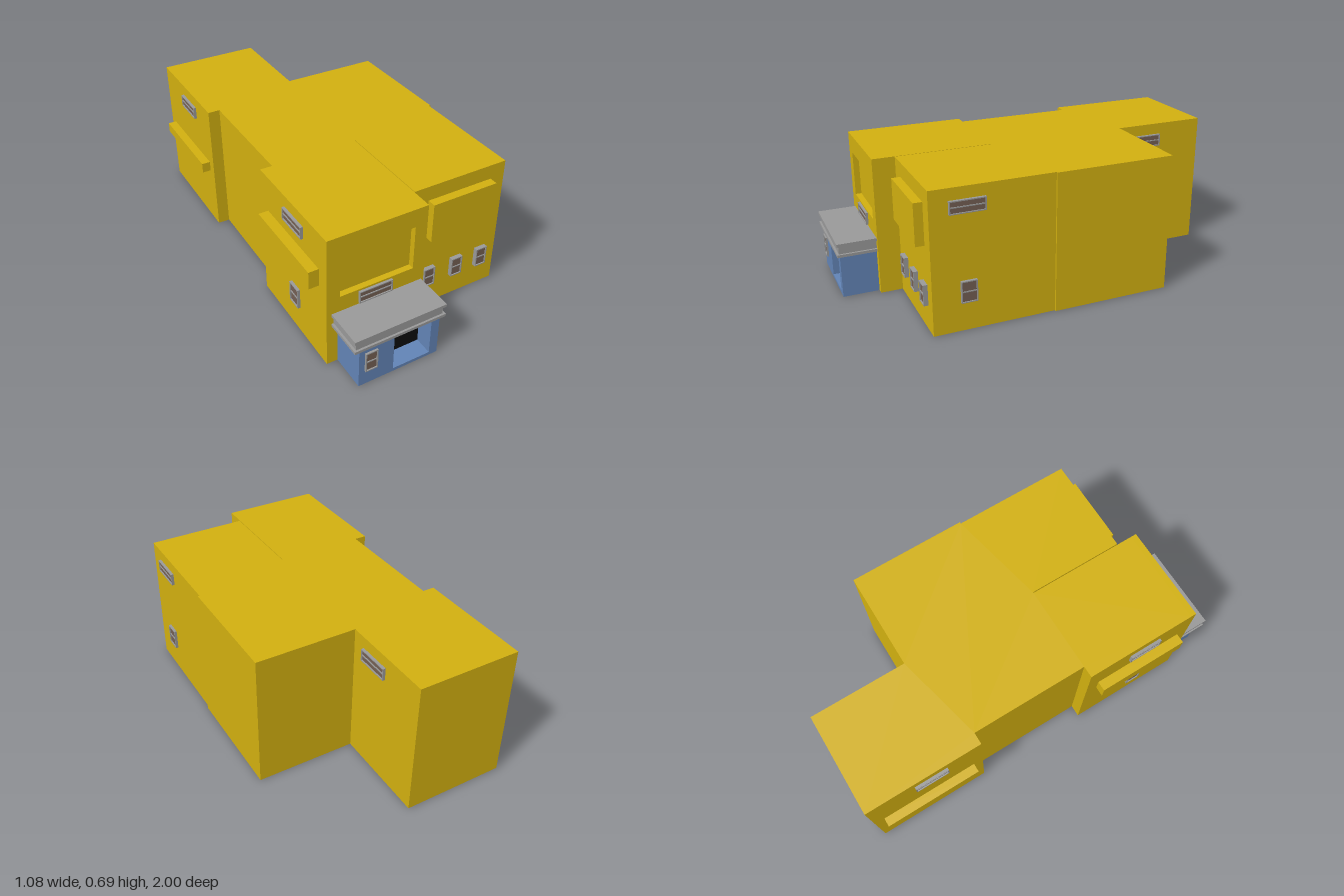
import * as THREE from 'three';

const material = (color) => new THREE.MeshStandardMaterial({ color });
const YELLOW = material(0xd2b010), BLUE = material(0x6284b6), GREY = material(0x999999);
const BROWN = material(0x735f53), BLACK = material(0x0c0c0c);
const H = 0.695;

function add(parent, name, geometry, mat) {
  const mesh = new THREE.Mesh(geometry, mat);
  mesh.name = name;
  parent.add(mesh);
  return mesh;
}

// Box given by its minimum and maximum on each axis
function box(parent, name, mat, [x0, x1], [y0, y1], [z0, z1]) {
  const g = new THREE.BoxGeometry(x1 - x0, y1 - y0, z1 - z0);
  return add(parent, name, g.translate((x0 + x1) / 2, (y0 + y1) / 2, (z0 + z1) / 2), mat);
}

const rectangle = (x0, x1, y0, y1) =>
  [[x0, y0], [x1, y0], [x1, y1], [x0, y1]].map((p) => new THREE.Vector2(...p));

// Upright plate with one rectangular opening, from z0 to z1
function framedPlate(outer, hole, z0, z1) {
  const shape = new THREE.Shape(rectangle(...outer));
  shape.holes.push(new THREE.Path(rectangle(...hole).reverse()));
  return new THREE.ExtrudeGeometry(shape, { depth: z1 - z0, bevelEnabled: false }).translate(0, 0, z0);
}

// Window facing +z, centred on its own origin, back on z = 0
function makeWindow(name, w, h, depth = 0.018) {
  const group = new THREE.Group();
  group.name = name;
  const a = w / 2, b = h / 2, t = 0.005;
  add(group, 'windowFrame', framedPlate([-a, a, -b, b], [t - a, a - t, t - b, b - t], 0, depth), GREY);
  box(group, 'windowPane', BROWN, [t - a, a - t], [t - b, b - t], [0, depth - 0.006]);
  box(group, 'windowBar', GREY, [t - a, a - t], [-0.0025, 0.0025], [0, depth - 0.002]);
  return group;
}

export function createModel() {
  const model = new THREE.Group();
  model.name = 'building';

  // Main block: one footprint with a narrow slit between the two front wings
  const plan = [
    [-0.49, 0.775], [0.012, 0.775], [0.012, 0.2], [0.016, 0.2], [0.016, 0.695], [0.521, 0.695],
    [0.521, 0.095], [0.53, 0.095], [0.53, -0.508], [0.028, -0.508], [0.028, -1], [-0.49, -1],
    [-0.49, -0.4], [-0.43, -0.4], [-0.43, 0.2], [-0.49, 0.2],
  ].map(([x, z]) => new THREE.Vector2(x, -z));
  const walls = new THREE.ExtrudeGeometry(new THREE.Shape(plan), { depth: H, bevelEnabled: false });
  add(model, 'walls', walls.rotateX(-Math.PI / 2), YELLOW);

  // Front wall with a shallow recessed panel
  add(model, 'recessedFront',
    framedPlate([-0.49, 0.012, 0, H], [-0.425, -0.05, 0.372, 0.6], 0.775, 0.805), YELLOW);

  // Raised panel on the right-hand front wing and ledges on the side
  box(model, 'raisedPanel', YELLOW, [0.095, 0.444], [0.415, 0.62], [0.69, 0.738]);
  box(model, 'frontLedge', YELLOW, [-0.54, -0.485], [0.415, 0.506], [0.265, 0.74]);
  box(model, 'backLedge', YELLOW, [-0.534, -0.485], [0.32, 0.373], [-0.95, -0.45]);

  // Entrance porch with a deep doorway
  const porch = new THREE.Group();
  porch.name = 'porch';
  model.add(porch);
  box(porch, 'porchBack', BLUE, [-0.435, -0.02], [0, 0.222], [0.805, 0.89]);
  add(porch, 'porchFront',
    framedPlate([-0.435, -0.02, 0, 0.222], [-0.257, -0.063, 0.016, 0.209], 0.89, 0.985), BLUE);
  box(porch, 'door', BLACK, [-0.257, -0.063], [0.016, 0.209], [0.885, 0.895]);

  // Stepped canopy
  box(porch, 'canopyBottom', GREY, [-0.466, 0], [0.22, 0.234], [0.805, 1]);
  box(porch, 'canopyMiddle', GREY, [-0.455, -0.011], [0.234, 0.275], [0.805, 0.99]);
  box(porch, 'canopyTop', GREY, [-0.466, 0], [0.275, 0.29], [0.805, 1]);

  // Windows facing the front: x, y, z, width, height, depth
  for (const [x, y, z, w, h, d] of [
    [-0.375, 0.133, 0.985, 0.062, 0.106, 0.01],
    [-0.246, 0.331, 0.805, 0.17, 0.063, 0.012],
    [0.12, 0.179, 0.695, 0.062, 0.103, 0.022],
    [0.28, 0.179, 0.695, 0.062, 0.103, 0.022],
    [0.428, 0.179, 0.695, 0.062, 0.103, 0.022],
  ]) {
    const pane = makeWindow('frontWindow', w, h, d);
    pane.position.set(x, y, z);
    model.add(pane);
  }

  // Windows on both sides: wall on the left, wall on the right, y, z, width, height
  for (const [left, right, y, z, w, h] of [
    [0.521, -0.49, 0.606, 0.52, 0.172, 0.063],
    [0.521, -0.49, 0.197, 0.523, 0.078, 0.107],
    [0.028, -0.49, 0.606, -0.668, 0.172, 0.063],
  ]) {
    for (const side of [1, -1]) {
      const pane = makeWindow('sideWindow', w, h, 0.014);
      pane.position.set(side > 0 ? left : right, y, z);
      pane.rotation.y = side * Math.PI / 2;
      model.add(pane);
    }
  }
  return model;
}
